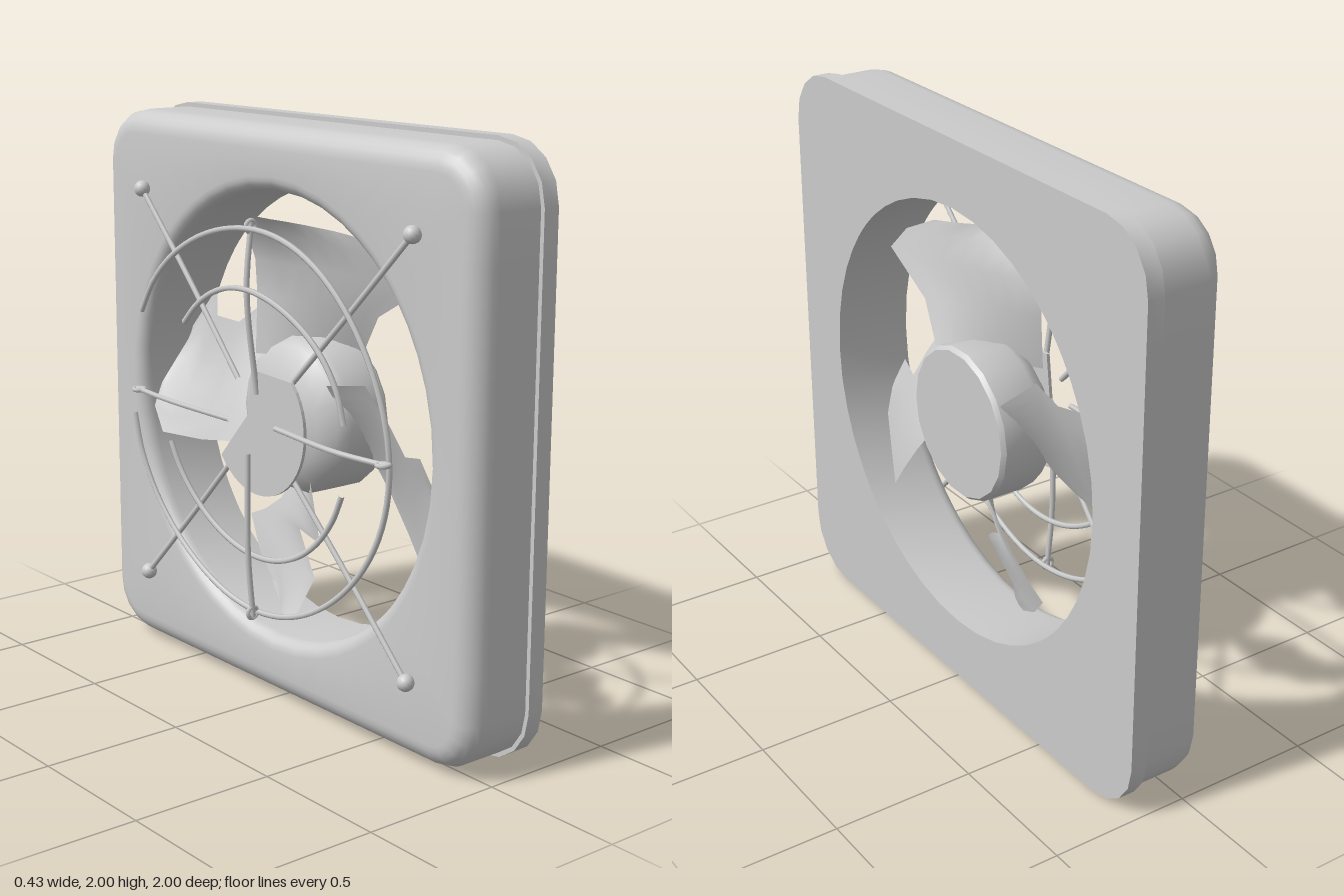
import * as THREE from 'three';
import { toCreasedNormals } from 'three/addons/utils/BufferGeometryUtils.js';

const grey = new THREE.MeshStandardMaterial({ color: 0xcccccc });
const thin = new THREE.MeshStandardMaterial({ color: 0xcccccc, side: THREE.DoubleSide });
const CY = 1; // height of the fan axis, which runs along x
const { clamp } = THREE.MathUtils;

function add(parent, name, geometry, material = grey) {
  const mesh = new THREE.Mesh(geometry, material);
  mesh.name = name;
  parent.add(mesh);
  return mesh;
}

// Skin over rows of points; rows all have the same length
function skin(rows, closed, crease) {
  const n = rows[0].length, pos = [], index = [];
  rows.forEach(row => row.forEach(p => pos.push(p[0], p[1], p[2])));
  for (let i = 0; i < rows.length - 1; i++) {
    for (let j = 0; j < (closed ? n : n - 1); j++) {
      const a = i * n + j, b = i * n + (j + 1) % n;
      index.push(a, a + n, b, b, a + n, b + n);
    }
  }
  const g = new THREE.BufferGeometry();
  g.setAttribute('position', new THREE.Float32BufferAttribute(pos, 3));
  g.setIndex(index);
  return toCreasedNormals(g, crease);
}

// Rounded square loop in the y-z plane, counter-clockwise from +x
function squareLoop(half, radius, x) {
  const loop = [], c = half - radius;
  for (let q = 0; q < 4; q++) {
    const turn = q * Math.PI / 2, cs = Math.cos(turn), sn = Math.sin(turn);
    const put = (u, v) => loop.push([x, CY + u * sn + v * cs, -(u * cs - v * sn)]);
    for (let i = 0; i < 10; i++) put(half, -c + 2 * c * i / 10);
    for (let i = 0; i < 4; i++) {
      const a = i / 4 * Math.PI / 2;
      put(c + radius * Math.cos(a), c + radius * Math.sin(a));
    }
  }
  return loop;
}

// Circle loop lined up with the square loop by angle
const circleLoop = (r, x) => squareLoop(1, 0.2, x).map(([, y, z]) => {
  const d = Math.hypot(y - CY, z);
  return [x, CY + (y - CY) * r / d, z * r / d];
});

// Square housing: flange plate, rounded back edge, flared round opening
function housing() {
  const rows = [squareLoop(1, 0.2, 0.215), squareLoop(1, 0.2, 0.155), squareLoop(0.985, 0.185, 0.155)];
  for (let i = 0; i <= 6; i++) {
    const a = i / 6 * Math.PI / 2, inset = 0.08 * (1 - Math.cos(a));
    rows.push(squareLoop(0.985 - inset, 0.185 - inset, -0.01 - 0.08 * Math.sin(a)));
  }
  for (let i = 0; i <= 5; i++) {
    const a = i / 5 * Math.PI / 2;
    rows.push(circleLoop(0.82 - 0.05 * Math.sin(a), -0.04 - 0.05 * Math.cos(a)));
  }
  rows.push(circleLoop(0.77, 0.215), squareLoop(1, 0.2, 0.215));
  return skin(rows, true, 0.6);
}

// Blade ruled between its two torn edges, given root to tip as [z, y]
function blade(edgeA, edgeB, k) {
  const centre = 0.23 + k * Math.PI / 2;
  const rows = edgeA.map((a, i) => {
    const b = edgeB[i], row = [];
    for (let j = 0; j <= 8; j++) {
      const z = a[0] + (b[0] - a[0]) * j / 8, y = a[1] + (b[1] - a[1]) * j / 8;
      const d = Math.atan2(y, -z) - centre, r = Math.hypot(y, z);
      const phi = Math.atan2(Math.sin(d), Math.cos(d)); // pitch follows the angle
      const root = clamp((0.7 - r) / 0.45, 0, 1);
      const curl = clamp(-phi / 0.3, 0, 1) * clamp((r - 0.55) / 0.14, 0, 1) ** 2; // tip bends back
      row.push([0.07 + 0.05 * root + 0.18 * phi - 0.09 * curl, CY + y, z]);
    }
    return row;
  });
  return skin(rows, false, 1.2);
}

// Bent wire through points
function wire(points, r = 0.01) {
  const curve = new THREE.CatmullRomCurve3(points);
  return new THREE.TubeGeometry(curve, points.length * 3, r, 6);
}

// Point at radius r and angle (degrees, seen from +x)
function polar(r, deg, x) {
  const a = deg * Math.PI / 180;
  return new THREE.Vector3(x, CY + r * Math.sin(a), -r * Math.cos(a));
}

export function createModel() {
  const model = new THREE.Group();
  add(model, 'housing', housing());

  // Hub drum with domed back
  const profile = [[0, -0.08], [0.1, -0.07], [0.19, -0.045], [0.25, -0.005], [0.272, 0.04],
    [0.272, 0.19], [0.26, 0.205], [0, 0.205]];
  const drum = new THREE.LatheGeometry(profile.map(p => new THREE.Vector2(...p)), 18);
  drum.rotateZ(-Math.PI / 2).translate(0, CY, 0);
  add(model, 'hub', toCreasedNormals(drum, 0.6), thin);

  // Four broken blades: right, top, left, bottom
  const blades = [
    [[[-0.24, -0.14], [-0.38, -0.16], [-0.5, -0.18], [-0.65, -0.17], [-0.7, -0.08], [-0.71, 0]],
      [[-0.22, 0.15], [-0.4, 0.3], [-0.47, 0.24], [-0.57, 0.25], [-0.59, 0.35], [-0.68, 0.2]]],
    [[[-0.15, 0.2], [-0.17, 0.4], [-0.18, 0.52], [-0.17, 0.63], [-0.1, 0.68]],
      [[0.14, 0.2], [0.25, 0.36], [0.46, 0.48], [0.4, 0.56], [0.28, 0.62]]],
    [[[0.22, 0.15], [0.4, 0.18], [0.46, 0.05], [0.5, -0.05], [0.6, -0.03], [0.64, -0.12]],
      [[0.22, -0.14], [0.3, -0.23], [0.4, -0.35], [0.48, -0.45], [0.56, -0.35], [0.64, -0.25]]],
    [[[0.14, -0.2], [0.17, -0.41], [-0.06, -0.43], [0.04, -0.49], [0.12, -0.55], [0.11, -0.66], [0.04, -0.7]],
      [[-0.13, -0.2], [-0.27, -0.38], [-0.36, -0.44], [-0.45, -0.48], [-0.34, -0.59], [-0.22, -0.66], [-0.1, -0.7]]],
  ];
  blades.forEach(([a, b], k) => add(model, 'blade', blade(a, b, k), thin));

  // Guard: long diagonal stays with ball ends, short straight spokes
  const guard = new THREE.Group();
  guard.name = 'guard';
  model.add(guard);
  const spokeInnerX = [-0.19, -0.15, -0.15, -0.19];
  for (let k = 0; k < 4; k++) {
    const diagonal = 45 + k * 90;
    add(guard, 'stay', wire([polar(1.01, diagonal, -0.11), polar(0.6, diagonal, -0.115), polar(0.18, diagonal, -0.13)]));
    const ball = add(guard, 'stayBall', new THREE.SphereGeometry(0.029, 14, 10));
    ball.position.copy(polar(1.01, diagonal, -0.11));
    add(guard, 'spoke', wire([polar(0.68, k * 90, -0.17), polar(0.45, k * 90, -0.19), polar(0.1, k * 90, spokeInnerX[k])]));
    const eyelet = add(guard, 'spokeEyelet', new THREE.TorusGeometry(0.02, 0.008, 6, 12));
    eyelet.position.copy(polar(0.665, k * 90, -0.172));
    eyelet.rotation.x = k % 2 ? 0 : Math.PI / 2;
  }

  // Broken, buckled guard rings: radius, start and end angle
  const arcs = [[0.66, 27, 353], [0.455, 42, 170], [0.465, 200, 342]];
  for (const [r, from, to] of arcs) {
    const points = [], steps = Math.ceil((to - from) / 12);
    for (let i = 0; i <= steps; i++) {
      const a = from + (to - from) * i / steps;
      const buckle = 0.033 * Math.cos((a - 40) * Math.PI / 180);
      points.push(polar(r + 0.006 * Math.sin(a), a, -0.172 - buckle));
    }
    add(guard, 'ring', wire(points));
  }

  // Broken centre cap of the guard, missing one quarter
  const cap = new THREE.Shape();
  cap.moveTo(-0.05, 0.02);
  cap.lineTo(-0.03, 0.18);
  cap.lineTo(0.18, 0.17);
  cap.absarc(0, 0, 0.25, 0.6, -2.5, true);
  const capMesh = add(guard, 'centreCap', new THREE.ExtrudeGeometry(cap, { depth: 0.012, bevelEnabled: false }));
  capMesh.rotation.y = -Math.PI / 2;
  capMesh.position.set(-0.138, CY, 0);
  return model;
}
